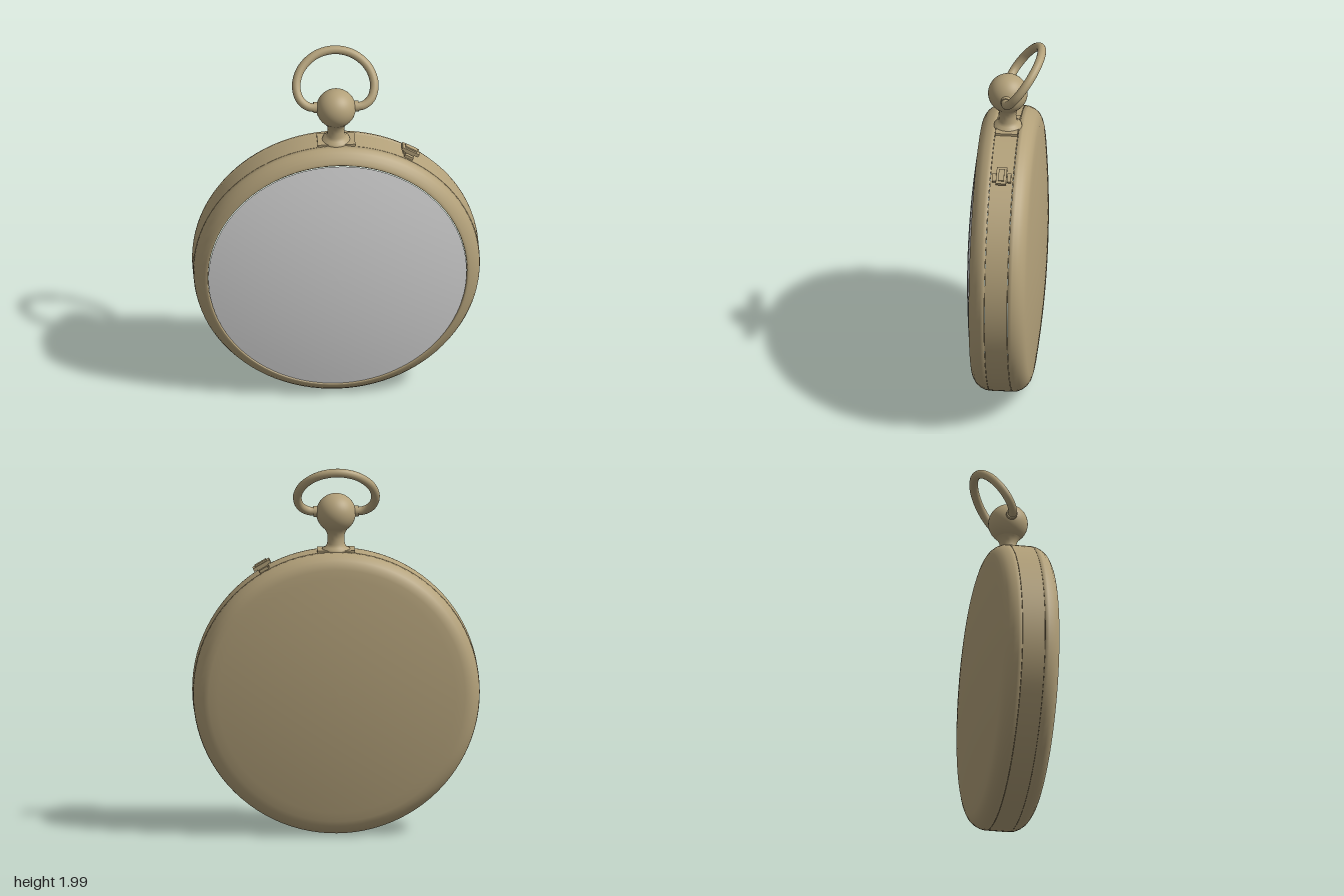
import * as THREE from 'three';

const gold = new THREE.MeshStandardMaterial({ color: 0xb3a17a, name: 'antique gold' });
const pearl = new THREE.MeshStandardMaterial({ color: 0xdcdcdc, name: 'pale glass' });
const CY = 0.765, R = 0.76;

function add(parent, name, geometry, material = gold) {
  const mesh = new THREE.Mesh(geometry, material);
  mesh.name = name;
  parent.add(mesh);
  return mesh;
}

// Profile points are [radius, height], listed from low to high.
function lathe(points, segments = 96) {
  return new THREE.LatheGeometry(points.map(([r, h]) => new THREE.Vector2(r, h)), segments);
}

// Shallow dome from the rim (radius r, height h) to its crown.
function dome(r, h, crown, steps = 14) {
  const points = [];
  for (let i = 0; i <= steps; i++) {
    const t = 1 - i / steps;
    points.push([r * t, crown - (crown - h) * t * t]);
  }
  return points;
}

export function createModel() {
  const model = new THREE.Group();
  model.name = 'pocketWatch';

  // Case, turned so that its axis points to the front
  const watchCase = new THREE.Group();
  watchCase.name = 'case';
  watchCase.rotation.x = Math.PI / 2;
  watchCase.position.y = CY;
  model.add(watchCase);

  const shoulder = [[R, 0.062], [0.757, 0.083], [0.746, 0.108], [0.728, 0.13], [0.706, 0.144]];
  add(watchCase, 'caseBand', lathe([[R - 0.015, -0.06], [R, -0.06], [R, 0.06], [R - 0.015, 0.06]]
    .flatMap((p) => [p, p])));
  add(watchCase, 'bezel', lathe([[R - 0.015, 0.062], ...shoulder, [0.695, 0.149], [0.689, 0.148], [0.686, 0.138]]));
  const back = [...shoulder, ...dome(0.68, 0.152, 0.2)].map(([r, h]) => [r, -h]).reverse();
  add(watchCase, 'backCover', lathe([...back, [R - 0.015, -0.062]]));
  add(watchCase, 'glass', lathe(dome(0.685, 0.148, 0.2)), pearl);

  // Flat seat and flared neck under the crown ball
  add(model, 'neckSeat', new THREE.BoxGeometry(0.2, 0.04, 0.118)).position.y = 1.511;
  add(model, 'neck', lathe([
    [0.075, 1.525], [0.072, 1.536], [0.055, 1.544], [0.047, 1.56],
    [0.044, 1.59], [0.047, 1.615], [0.058, 1.635], [0.07, 1.65]], 40));
  add(model, 'crownBall', new THREE.SphereGeometry(0.105, 40, 28)).position.y = 1.725;

  // Bow: an oval loop leaning back, with its ends set in the ball
  const half = [[0.08, 1.733], [0.145, 1.737], [0.19, 1.768], [0.207, 1.83], [0.178, 1.9], [0.1, 1.957]];
  const loop = [...half, [0, 1.977], ...half.map(([x, y]) => [-x, y]).reverse()];
  const path = new THREE.CatmullRomCurve3(
    loop.map(([x, y]) => new THREE.Vector3(x, y, -(y - 1.735) * 0.74)));
  add(model, 'bow', new THREE.TubeGeometry(path, 96, 0.023, 16));
  for (const side of [-1, 1]) {
    const pivot = add(model, 'bowPivot', new THREE.CylinderGeometry(0.029, 0.029, 0.04, 20));
    pivot.rotation.z = Math.PI / 2;
    pivot.position.set(side * 0.1, 1.733, 0);
  }

  // Push button on the upper left of the band
  const button = new THREE.Group();
  button.name = 'pushButton';
  const angle = Math.PI / 6;
  button.position.set(R * Math.sin(angle), CY + R * Math.cos(angle), 0);
  button.rotation.z = -angle;
  model.add(button);
  add(button, 'buttonStem', new THREE.BoxGeometry(0.06, 0.05, 0.045));
  add(button, 'buttonCap', new THREE.BoxGeometry(0.1, 0.018, 0.055)).position.y = 0.027;
  add(button, 'buttonRidge', new THREE.BoxGeometry(0.07, 0.01, 0.03)).position.y = 0.039;
  for (const side of [-1, 1]) {
    add(button, 'buttonGuard', new THREE.BoxGeometry(0.05, 0.03, 0.02)).position.z = side * 0.04;
  }
  return model;
}
